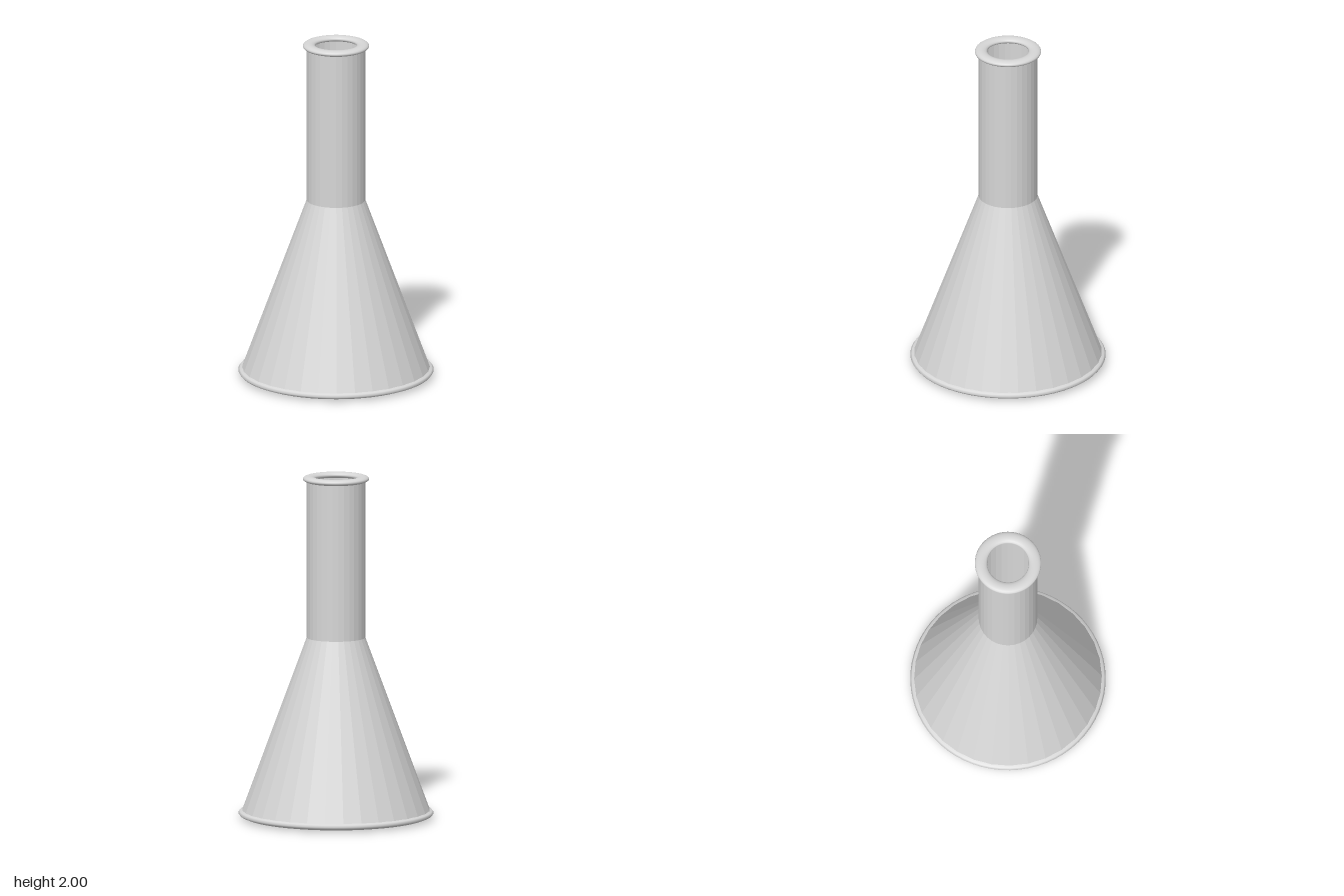
import * as THREE from 'three';

const SIDES = 32;

export function createModel() {
  const model = new THREE.Group();
  const paleGrey = new THREE.MeshStandardMaterial({ color: 0xd6d6d6, side: THREE.DoubleSide, flatShading: true });
  paleGrey.name = 'paleGrey';
  const smoothGrey = new THREE.MeshStandardMaterial({ color: 0xd6d6d6 });
  smoothGrey.name = 'paleGreySmooth';

  const add = (name, geometry, material, y) => {
    const mesh = new THREE.Mesh(geometry, material);
    mesh.name = name;
    mesh.position.y = y;
    model.add(mesh);
  };

  // Open faceted tube between two heights
  const tube = (name, rTop, rBottom, y0, y1) =>
    add(name, new THREE.CylinderGeometry(rTop, rBottom, y1 - y0, SIDES, 1, true), paleGrey, (y0 + y1) / 2);

  // Flattened rolled ring lying flat
  const ring = (name, rInner, rOuter, halfHeight, y) => {
    const half = (rOuter - rInner) / 2;
    const geometry = new THREE.TorusGeometry(rInner + half, half, 16, 64);
    geometry.rotateX(Math.PI / 2);
    geometry.scale(1, halfHeight / half, 1);
    add(name, geometry, smoothGrey, y);
  };

  // Body and neck
  tube('coneBody', 0.17, 0.551, 0.025, 1.055);
  tube('neck', 0.17, 0.17, 1.055, 1.985);

  // Rolled rims at the mouth and the foot
  ring('mouthLip', 0.12, 0.192, 0.0175, 1.9825);
  ring('baseRim', 0.335, 0.565, 0.03, 0.03);

  // Closed floor inside the base rim
  add('floor', new THREE.CylinderGeometry(0.38, 0.38, 0.015, 64), smoothGrey, 0.0175);

  return model;
}
